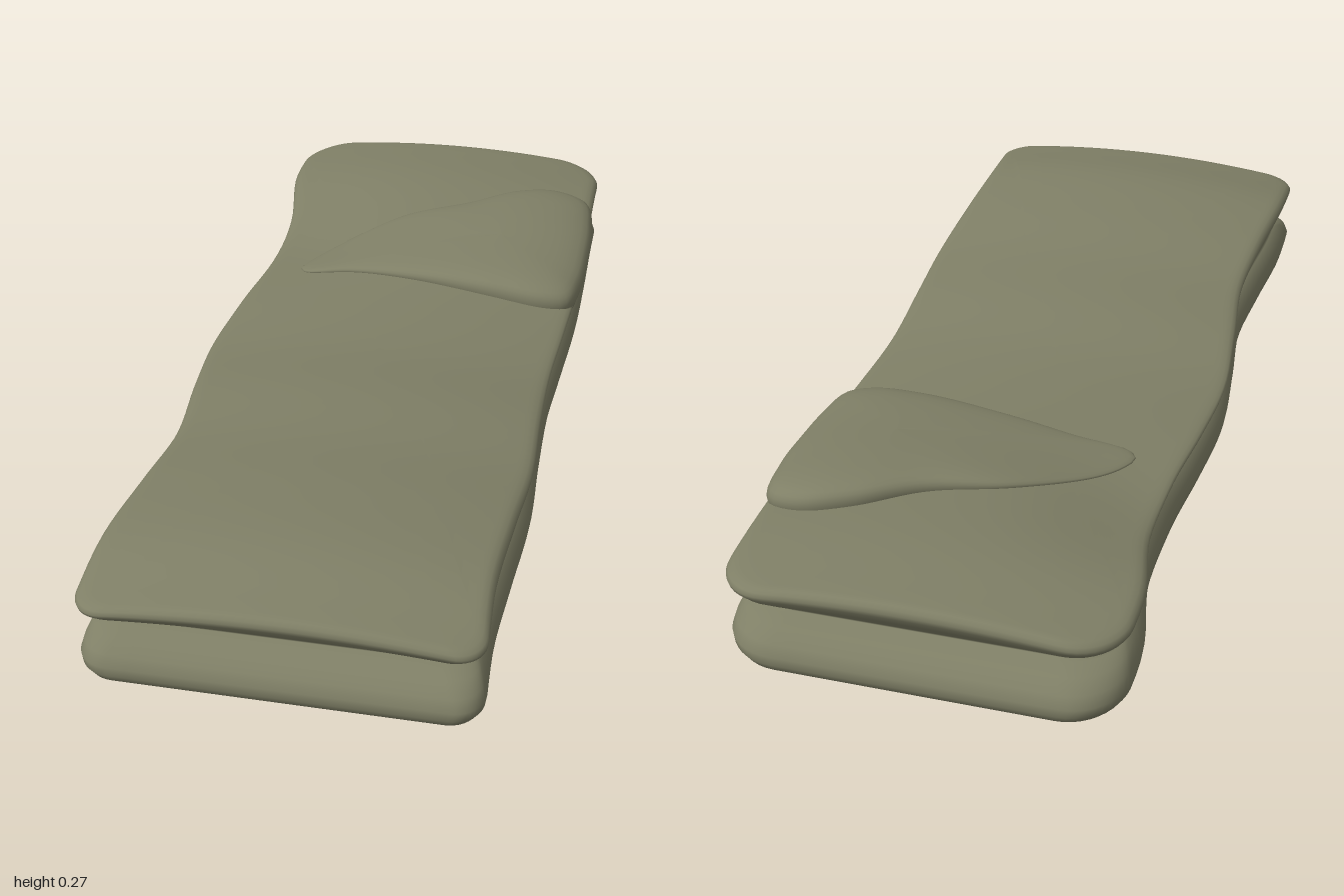
import * as THREE from 'three';

// Smooth lookup of values spaced evenly along z from -1 to 1
function alongZ(values) {
  const curve = new THREE.SplineCurve(values.map((v, i) => new THREE.Vector2(i, v)));
  return z => curve.getPoint(THREE.MathUtils.clamp((z + 1) / 2, 0, 1)).y;
}
const rightEdge = alongZ([-0.39, -0.397, -0.364, -0.366, -0.39, -0.405, -0.39, -0.371, -0.385, -0.404, -0.405]);
const leftEdge = alongZ([0.385, 0.385, 0.388, 0.388, 0.378, 0.368, 0.372, 0.38, 0.37, 0.362, 0.372]);
const crest = alongZ([0.232, 0.238, 0.225, 0.205, 0.195, 0.195, 0.212, 0.22, 0.24, 0.247, 0.222]);

const bump = (x, z, cx, cz, wx, wz) => Math.exp(-(((x - cx) / wx) ** 2) - ((z - cz) / wz) ** 2);

// Height of the quilted upper surface: crowned across, sagging by the opening
function topHeight(x, z) {
  return crest(z) - 0.032 * Math.min(1, (x / 0.4) ** 2) - 0.025 * bump(x, z, -0.33, -0.52, 0.2, 0.2);
}

// Skin a stack of closed rings, bottom to top
function loft(rings) {
  const n = rings[0].length;
  const index = [];
  for (let k = 0; k < rings.length - 1; k++) {
    for (let i = 0; i < n; i++) {
      const j = (i + 1) % n;
      const a = k * n + i, b = k * n + j, c = a + n, d = b + n;
      index.push(a, b, d, a, d, c);
    }
  }
  const geometry = new THREE.BufferGeometry();
  geometry.setAttribute('position', new THREE.Float32BufferAttribute(rings.flat(2), 3));
  geometry.setIndex(index);
  geometry.computeVertexNormals();
  return geometry;
}

// Rounded rectangle in unit coordinates (u across, z along), counterclockwise from above
function matOutline() {
  const pts = [];
  const corner = (sx, sz, r, from) => {
    for (let i = 0; i <= 10; i++) {
      const a = from + (i / 10) * Math.PI / 2;
      pts.push([(sx * (0.4 - r) + r * Math.cos(a)) / 0.4, sz * (1 - r) - r * Math.sin(a)]);
    }
  };
  const run = (u0, z0, u1, z1, n) => {
    for (let i = 1; i < n; i++) pts.push([u0 + (u1 - u0) * i / n, z0 + (z1 - z0) * i / n]);
  };
  const rb = 0.11, rf = 0.065;
  run(1, 1 - rf, 1, -1 + rb, 50);
  corner(1, -1, rb, 0);
  run(1 - rb / 0.4, -1, -1 + rb / 0.4, -1, 16);
  corner(-1, -1, rb, Math.PI / 2);
  run(-1, -1 + rb, -1, 1 - rf, 50);
  corner(-1, 1, rf, Math.PI);
  run(-1 + rf / 0.4, 1, 1 - rf / 0.4, 1, 16);
  corner(1, 1, rf, Math.PI * 1.5);
  return pts;
}

function bodyGeometry() {
  const outline = matOutline();
  const waist = 0.115;
  // One ring: shrink, side inset, end inset, and a height rule
  const ring = (s, dx, dz, height) => outline.map(([u0, z0]) => {
    const z = z0 * s * (1 - dz);
    const u = u0 * s * (1 - dx / 0.4);
    const l = leftEdge(z), r = rightEdge(z);
    const x = (l + r) / 2 + u * (l - r) / 2;
    return [x, height(x, z), z];
  });
  const low = y => (x, z) => y - 0.017 * bump(x, z, -0.33, -0.45, 0.08, 0.15) * Math.max(0, 1 - (y - 0.015) / 0.08);
  const high = f => (x, z) => waist + f * (topHeight(x, z) - waist);
  const rings = [];

  // Flat underside
  for (let i = 0; i <= 14; i++) rings.push(ring(i / 14, 0.05, 0.05, low(0.015)));
  // Lower padded layer
  [[0.028, 0.024, 0.017], [0.012, 0.008, 0.026], [0.003, 0.001, 0.042], [0, 0.002, 0.06],
    [0.006, 0.014, 0.082], [0.017, 0.04, 0.102], [0.029, 0.075, 0.111], [0.032, 0.082, 0.114]]
    .forEach(([dx, dz, y]) => rings.push(ring(1, dx, dz, low(y))));
  // Upper padded layer
  [[0.032, 0.082, 0.02], [0.03, 0.075, 0.08], [0.02, 0.045, 0.32], [0.008, 0.016, 0.58], [0.001, 0.002, 0.76],
    [0, 0, 0.85], [0.004, 0.003, 0.93], [0.012, 0.01, 0.98], [0.024, 0.022, 1]]
    .forEach(([dx, dz, f]) => rings.push(ring(1, dx, dz, high(f))));
  // Quilted top
  for (let i = 29; i >= 0; i--) rings.push(ring(i / 30, 0.024, 0.022, high(1)));
  return loft(rings);
}

function flapGeometry() {
  const points = [[-0.28, -0.35], [-0.265, -0.332], [-0.15, -0.33], [0, -0.31], [0.2, -0.28], [0.32, -0.273],
    [0.375, -0.295], [0.395, -0.38], [0.4, -0.5], [0.397, -0.62], [0.375, -0.725], [0.3, -0.75],
    [0.2, -0.72], [0.08, -0.64], [-0.07, -0.575], [-0.2, -0.47], [-0.265, -0.39]];
  const outline = new THREE.CatmullRomCurve3(points.map(([x, z]) => new THREE.Vector3(x, 0, z)), true)
    .getSpacedPoints(100).slice(0, 100);
  const cx = 0.19, cz = -0.48;
  // Shrink and share of the thickness, from the tucked-in edge to the crown
  const profile = [[0, -0.5], [0.9, -0.5], [0.975, -0.4], [0.995, -0.1], [1, 0.12], [0.994, 0.32], [0.975, 0.5],
    [0.94, 0.64], [0.88, 0.76], [0.78, 0.86], [0.65, 0.93], [0.45, 0.98], [0.25, 1], [0, 1]];
  return loft(profile.map(([s, f]) => outline.map(p => {
    const x = cx + (p.x - cx) * s, z = cz + (p.z - cz) * s;
    const thickness = 0.012 + 0.04 * THREE.MathUtils.smoothstep(x, -0.28, 0.32);
    return [x, topHeight(x, z) + f * thickness, z];
  })));
}

export function createModel() {
  const group = new THREE.Group();
  group.name = 'sleepingBag';
  const olive = new THREE.MeshStandardMaterial({ color: 0x7f7f66 });
  olive.name = 'olive fabric';
  const add = (name, geometry) => {
    const mesh = new THREE.Mesh(geometry, olive);
    mesh.name = name;
    group.add(mesh);
  };
  add('paddedBody', bodyGeometry());
  add('foldedFlap', flapGeometry());
  return group;
}
